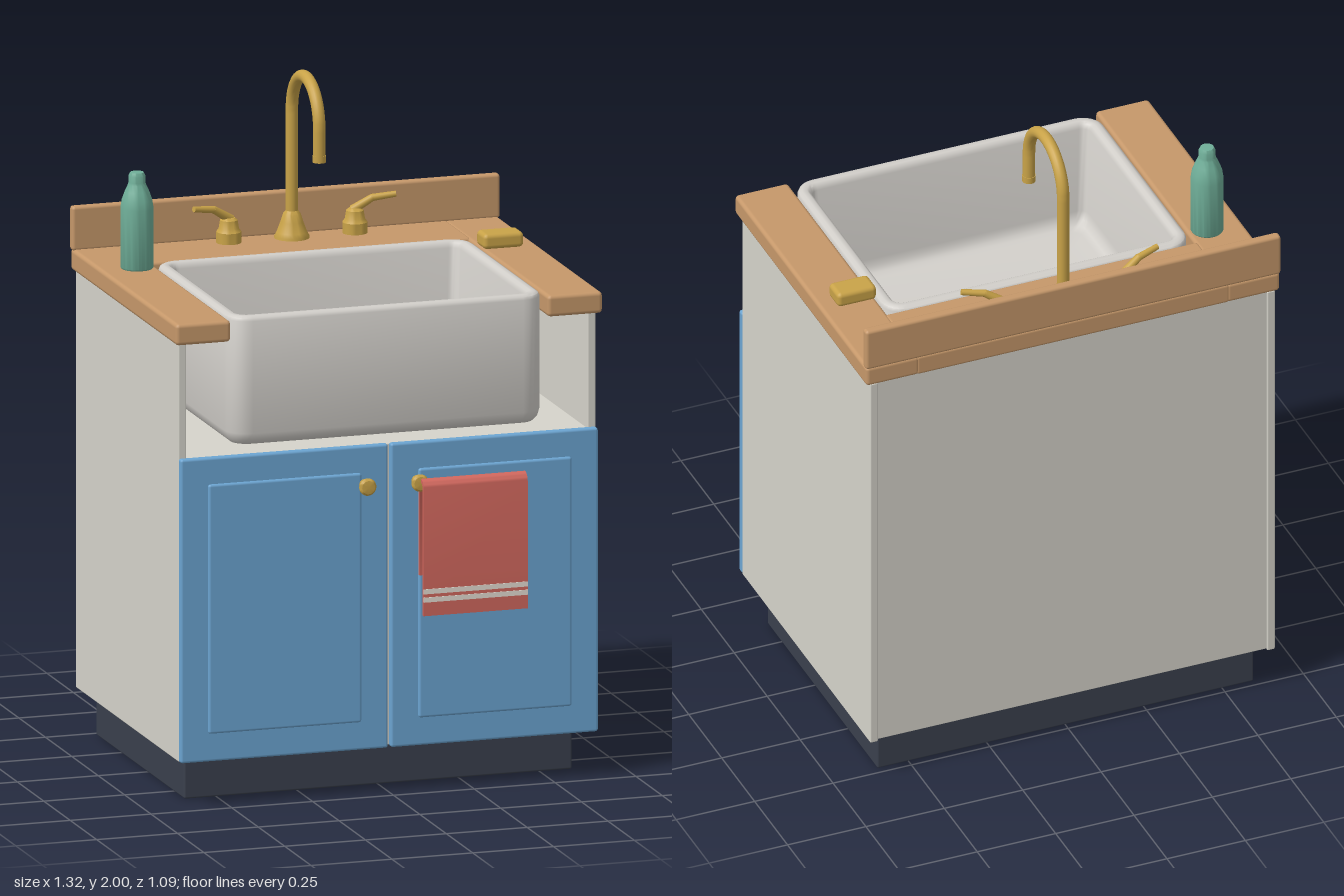
import * as THREE from 'three';
import { toCreasedNormals } from 'three/addons/utils/BufferGeometryUtils.js';
import { RoundedBoxGeometry } from 'three/addons/geometries/RoundedBoxGeometry.js';

const material = (name, color) => {
  const m = new THREE.MeshStandardMaterial({ color });
  m.name = name;
  return m;
};

export function createModel() {
  const model = new THREE.Group();
  model.name = 'sinkCabinet';
  const cream = material('creamPaint', 0xd6d4cb);
  const ceramic = material('ceramic', 0xd2cfca);
  const wood = material('wood', 0xc6986a);
  const blue = material('bluePaint', 0x6ca5d2);
  const brass = material('brass', 0xc9a348);
  const dark = material('darkBase', 0x3a404d);
  const green = material('greenGlass', 0x6fae98);
  const red = material('redCloth', 0xd2685e);
  const white = material('whiteStripe', 0xeee6dc);

  const add = (name, geometry, mat, x = 0, y = 0, z = 0) => {
    const mesh = new THREE.Mesh(geometry, mat);
    mesh.name = name;
    mesh.position.set(x, y, z);
    model.add(mesh);
    return mesh;
  };
  // Rounded box given by its bounds
  const box = (name, mat, x0, x1, y0, y1, z0, z1, r = 0.006) =>
    add(name, new RoundedBoxGeometry(x1 - x0, y1 - y0, z1 - z0, 2, r), mat,
      (x0 + x1) / 2, (y0 + y1) / 2, (z0 + z1) / 2);
  const lathe = (profile, sides = 32) => toCreasedNormals(
    new THREE.LatheGeometry(profile.map(([r, y]) => new THREE.Vector2(r, y)), sides), 0.6);

  // Carcass, open at the top around the basin
  box('toeKick', dark, -0.6, 0.6, 0, 0.14, -0.48, 0.355);
  box('lowerCabinet', cream, -0.622, 0.622, 0.138, 1.05, -0.528, 0.436, 0.003);
  box('backPanel', cream, -0.622, 0.622, 1.04, 1.4, -0.528, -0.505, 0.003);
  for (const s of [-1, 1]) {
    box('sidePanel', cream, s * 0.633 - 0.0125, s * 0.633 + 0.0125, 0.135, 1.402, -0.535, 0.44, 0.004);
  }

  // Doors with raised panels and knobs
  const knob = lathe([[0, 0], [0.016, 0], [0.016, 0.004], [0.009, 0.009], [0.009, 0.02],
    [0.02, 0.026], [0.026, 0.032], [0.026, 0.037], [0.02, 0.043], [0, 0.046]], 24);
  knob.rotateX(Math.PI / 2);
  for (const s of [-1, 1]) {
    const c = s * 0.325;
    box('door', blue, c - 0.321, c + 0.321, 0.135, 1.055, 0.438, 0.464, 0.008);
    box('doorPanel', blue, c - 0.237, c + 0.237, 0.22, 0.975, 0.452, 0.472, 0.008);
    add('doorKnob', knob, brass, s * 0.081, 0.94, 0.47);
  }

  // Counter pieces and backsplash
  box('counterBack', wood, -0.5, 0.5, 1.4, 1.465, -0.54, -0.293, 0.01);
  for (const s of [-1, 1]) {
    box('counterSide', wood, s * 0.575 - 0.085, s * 0.575 + 0.085, 1.4, 1.465, -0.54, 0.463, 0.012);
  }
  box('backsplash', wood, -0.662, 0.662, 1.46, 1.595, -0.543, -0.513, 0.01);

  // Basin: rounded rectangles stacked up the outside, over the rim and down inside
  const centreZ = 0.079, halfX = 0.486, halfZ = 0.373;
  const rings = [[0.37, 1.075], [0.04, 1.075], [0.02, 1.08], [0.006, 1.094], [0, 1.115],
    [0, 1.455], [0.004, 1.464], [0.014, 1.469], [0.028, 1.469], [0.036, 1.464], [0.042, 1.45],
    [0.052, 1.17], [0.058, 1.145], [0.07, 1.13], [0.09, 1.125], [0.37, 1.12]];
  const arcSteps = 6, count = 4 * (arcSteps + 1);
  const positions = [], index = [];
  rings.forEach(([inset, y], k) => {
    const r = Math.max(0.068 - inset, inset > 0.3 ? 0.001 : 0.028);
    for (let q = 0; q < 4; q++) {
      const sx = q === 0 || q === 3 ? 1 : -1, sz = q < 2 ? 1 : -1;
      for (let i = 0; i <= arcSteps; i++) {
        const a = (q + i / arcSteps) * Math.PI / 2;
        positions.push(sx * (halfX - inset - r) + r * Math.cos(a), y,
          centreZ + sz * (halfZ - inset - r) + r * Math.sin(a));
      }
    }
    if (k === 0) return;
    for (let j = 0; j < count; j++) {
      const n = (j + 1) % count, a = (k - 1) * count, b = k * count;
      index.push(a + j, b + j, a + n, a + n, b + j, b + n);
    }
  });
  const basin = new THREE.BufferGeometry();
  basin.setAttribute('position', new THREE.Float32BufferAttribute(positions, 3));
  basin.setIndex(index);
  add('basin', toCreasedNormals(basin, 0.7), ceramic);
  box('basinFloor', ceramic, -0.13, 0.13, 1.08, 1.12, centreZ - 0.01, centreZ + 0.01, 0.001);
  add('drain', lathe([[0.055, 0], [0.05, 0.004], [0, 0.006]]), ceramic, 0, 1.12, 0);

  // Gooseneck tap
  const tapZ = -0.462;
  add('tapBase', lathe([[0, 0], [0.052, 0], [0.052, 0.008], [0.045, 0.02], [0.034, 0.05],
    [0.026, 0.075], [0.018, 0.085]]), brass, 0, 1.463, tapZ);
  const neck = new THREE.CurvePath();
  const point = (y, z) => new THREE.Vector3(0, y, z);
  const arc = [];
  for (let i = 0; i <= 16; i++) {
    const a = Math.PI * (1 - i / 16);
    arc.push(point(1.851 + 0.13 * Math.sin(a), -0.332 + 0.13 * Math.cos(a)));
  }
  neck.add(new THREE.LineCurve3(point(1.48, tapZ), arc[0]));
  neck.add(new THREE.CatmullRomCurve3(arc));
  neck.add(new THREE.LineCurve3(arc[16], point(1.76, -0.202)));
  add('tapNeck', new THREE.TubeGeometry(neck, 72, 0.0185, 16), brass);
  add('tapSpout', new THREE.CylinderGeometry(0.02, 0.02, 0.02, 20), brass, 0, 1.763, -0.202);

  // Tap handles
  const handleBase = lathe([[0, 0], [0.037, 0], [0.037, 0.035], [0.03, 0.045], [0.026, 0.07], [0.018, 0.077], [0, 0.078]], 24);
  const up = new THREE.Vector3(0, 1, 0);
  for (const s of [-1, 1]) {
    add('handleBase', handleBase, brass, s * 0.195, 1.463, tapZ);
    const from = new THREE.Vector3(s * 0.19, 1.535, tapZ - 0.002);
    const bend = new THREE.Vector3(s * 0.245, 1.57, -0.45);
    const to = new THREE.Vector3(s * 0.31, 1.58, -0.433);
    [[from, bend, 0.014, 0.011], [bend, to, 0.011, 0.009]].forEach(([a, b, r0, r1]) => {
      const dir = b.clone().sub(a);
      const mid = a.clone().add(b).multiplyScalar(0.5);
      const lever = add('handleLever', new THREE.CylinderGeometry(r1, r0, dir.length() + 0.006, 14), brass, mid.x, mid.y, mid.z);
      lever.quaternion.setFromUnitVectors(up, dir.normalize());
    });
  }

  // Bottle and sponge on the counter
  add('bottle', lathe([[0, 0], [0.045, 0], [0.049, 0.006], [0.049, 0.185], [0.045, 0.21], [0.036, 0.235],
    [0.027, 0.255], [0.025, 0.262], [0.025, 0.282], [0.02, 0.292], [0, 0.293]]), green, -0.55, 1.463, -0.245);
  box('sponge', brass, 0.488, 0.613, 1.464, 1.511, -0.213, -0.136, 0.014);

  // Folded towel: an upside-down U swept across its width
  const towel = new THREE.Shape();
  towel.moveTo(0.541, 0.545);
  towel.lineTo(0.541, 0.93);
  towel.absarc(0.516, 0.93, 0.025, 0, Math.PI, false);
  towel.lineTo(0.491, 0.66);
  towel.lineTo(0.503, 0.66);
  towel.lineTo(0.503, 0.93);
  towel.absarc(0.516, 0.93, 0.013, Math.PI, 0, true);
  towel.lineTo(0.529, 0.545);
  const cloth = new THREE.ExtrudeGeometry(towel, { depth: 0.322, bevelEnabled: false, curveSegments: 10 });
  cloth.rotateY(-Math.PI / 2);
  add('towel', toCreasedNormals(cloth, 0.6), red, 0.402, 0, 0);
  for (const y of [0.594, 0.619]) {
    add('towelStripe', new THREE.BoxGeometry(0.322, 0.015, 0.004), white, 0.241, y, 0.541);
  }
  return model;
}
